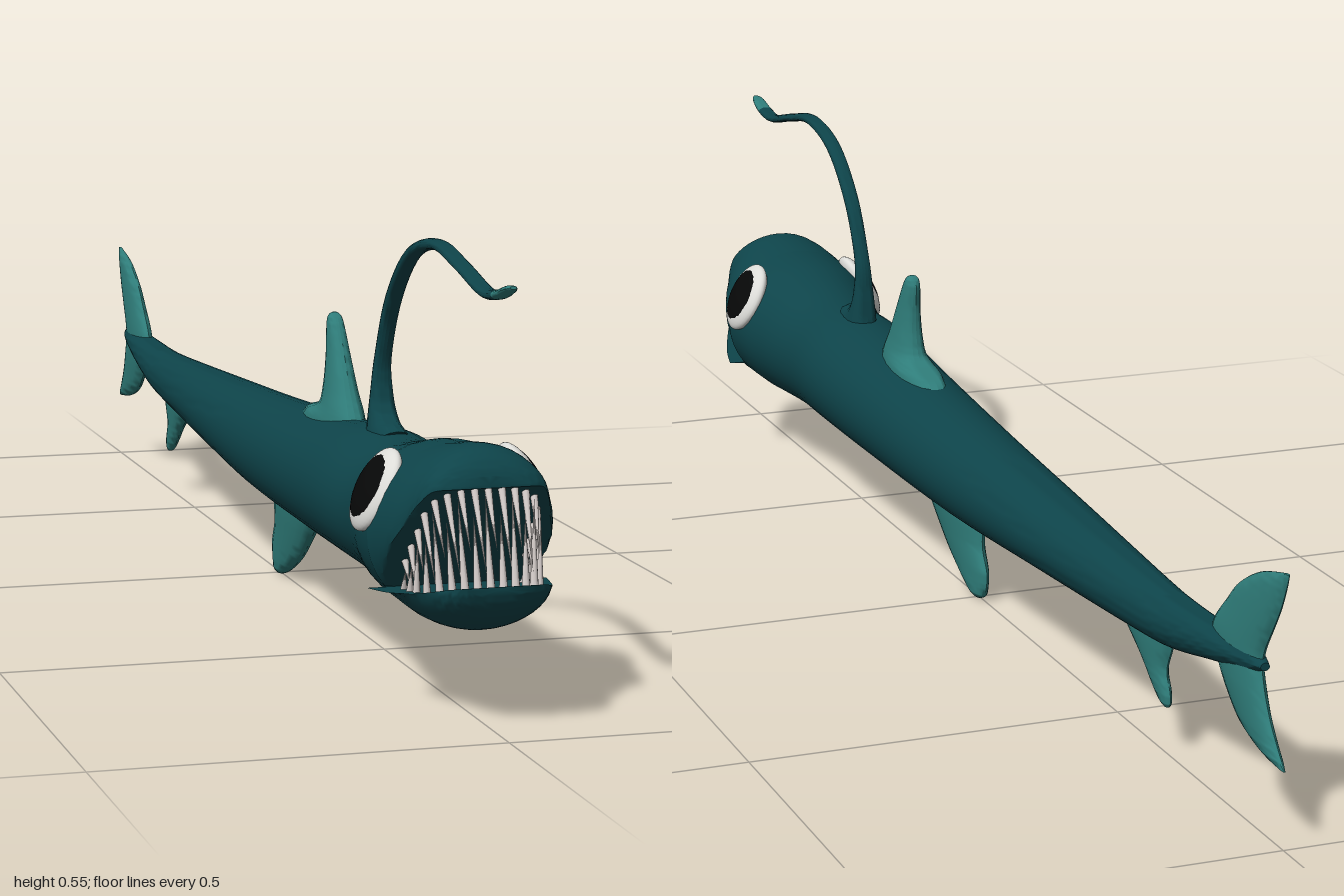
import * as THREE from 'three';
import { toCreasedNormals } from 'three/addons/utils/BufferGeometryUtils.js';

const mat = (name, color, side = THREE.FrontSide) => {
  const m = new THREE.MeshStandardMaterial({ color, side });
  m.name = name;
  return m;
};
const V = (x, y, z) => new THREE.Vector3(x, y, z);

// Catmull-Rom resampling of rows of numbers, n steps per span
function smooth(rows, n) {
  const out = [];
  const at = i => rows[Math.min(Math.max(i, 0), rows.length - 1)];
  for (let i = 0; i < rows.length - 1; i++) {
    for (let k = 0; k < n; k++) {
      const t = k / n;
      out.push(rows[i].map((b, c) => {
        const a = at(i - 1)[c], d = at(i + 1)[c], e = at(i + 2)[c];
        return 0.5 * (2 * b + (d - a) * t + (2 * a - 5 * b + 4 * d - e) * t * t + (3 * b - a - 3 * d + e) * t * t * t);
      }));
    }
  }
  out.push(rows[rows.length - 1]);
  return out;
}

// Closed skin over rings that run counter-clockwise about the direction of travel
function loft(rings, crease = 0.9) {
  const n = rings[0].length, pos = [], idx = [];
  rings.forEach(r => r.forEach(p => pos.push(p.x, p.y, p.z)));
  for (let i = 0; i < rings.length - 1; i++) {
    for (let j = 0; j < n; j++) {
      const a = i * n + j, b = i * n + (j + 1) % n;
      idx.push(a, b, a + n, b, b + n, a + n);
    }
  }
  [0, rings.length - 1].forEach((i, end) => {
    const c = rings[i].reduce((s, p) => s.add(p), V(0, 0, 0)).divideScalar(n);
    pos.push(c.x, c.y, c.z);
    const ci = pos.length / 3 - 1;
    for (let j = 0; j < n; j++) {
      const a = i * n + j, b = i * n + (j + 1) % n;
      end ? idx.push(ci, a, b) : idx.push(ci, b, a);
    }
  });
  const g = new THREE.BufferGeometry();
  g.setAttribute('position', new THREE.Float32BufferAttribute(pos, 3));
  g.setIndex(idx);
  return toCreasedNormals(g, crease);
}

const ring = (n, f) => Array.from({ length: n }, (_, j) => f(Math.cos(j / n * Math.PI * 2), Math.sin(j / n * Math.PI * 2)));

// Body rows: z, top, bottom, half width; optional lip height clamps the oval
function bodyLoft(rows, clamp) {
  return loft(smooth(rows, 5).map(([z, top, bottom, w, lip]) => ring(40, (c, s) => {
    const y = (top + bottom) / 2 + s * (top - bottom) / 2;
    return V(c * w, clamp ? clamp(y, lip) : y, z);
  })));
}

// Fin rows: y (rising), front z, back z, half thickness
function finLoft(rows) {
  return loft(smooth(rows, 5).map(([y, z1, z2, w]) =>
    ring(20, (c, s) => V(s * w, y, (z1 + z2) / 2 + c * (z1 - z2) / 2))));
}

export function createModel() {
  const model = new THREE.Group();
  const skin = mat('deep teal skin', 0x0e444a);
  const finMat = mat('light teal fin', 0x2f7d7a);
  const ivory = mat('tooth ivory', 0xd8d0cd);
  const white = mat('eye white', 0xdcdcd8);
  const black = mat('eye black', 0x070808);
  const add = (name, geo, m, parent = model) => {
    const mesh = new THREE.Mesh(geo, m);
    mesh.name = name;
    parent.add(mesh);
    return mesh;
  };

  // Trunk from tail tip to the back of the mouth
  add('body', bodyLoft([
    [-0.94, 0.216, 0.206, 0.006], [-0.9, 0.225, 0.194, 0.015], [-0.8, 0.222, 0.174, 0.025],
    [-0.7, 0.22, 0.154, 0.031], [-0.6, 0.222, 0.145, 0.037], [-0.3, 0.236, 0.13, 0.056],
    [0, 0.252, 0.115, 0.071], [0.3, 0.272, 0.114, 0.084], [0.48, 0.288, 0.115, 0.091],
    [0.6, 0.29, 0.113, 0.088], [0.68, 0.304, 0.11, 0.098], [0.74, 0.316, 0.108, 0.109],
    [0.8, 0.322, 0.108, 0.113],
  ]), skin);

  // Jaws, cut off at the lip line
  add('upperJaw', bodyLoft([
    [0.8, 0.322, 0.108, 0.113, 0.15], [0.85, 0.33, 0.125, 0.103, 0.207], [0.88, 0.332, 0.16, 0.09, 0.243],
    [0.9, 0.327, 0.21, 0.08, 0.268], [0.915, 0.314, 0.25, 0.069, 0.284], [0.922, 0.3, 0.272, 0.052, 0.287],
  ], Math.max), skin);
  add('lowerJaw', bodyLoft([
    [0.8, 0.322, 0.108, 0.113, 0.15], [0.85, 0.28, 0.107, 0.102, 0.154], [0.9, 0.235, 0.114, 0.086, 0.162],
    [0.94, 0.212, 0.132, 0.07, 0.172], [0.958, 0.2, 0.15, 0.057, 0.177], [0.967, 0.192, 0.168, 0.042, 0.179],
  ], Math.min), skin);

  // Needle teeth around both jaws
  const arch = pts => new THREE.CatmullRomCurve3(
    [...pts.map(([x, y, z]) => V(-x, y, z)), ...pts.slice(0, -1).reverse().map(([x, y, z]) => V(x, y, z))]);
  const upper = arch([[0.076, 0.178, 0.822], [0.072, 0.225, 0.86], [0.064, 0.272, 0.897], [0.035, 0.287, 0.911], [0, 0.288, 0.913]]);
  const lower = arch([[0.074, 0.145, 0.822], [0.073, 0.15, 0.875], [0.058, 0.163, 0.93], [0.032, 0.17, 0.948], [0, 0.172, 0.952]]);
  const teeth = new THREE.Group();
  teeth.name = 'teeth';
  model.add(teeth);
  const tooth = (name, from, to, r) => {
    const dir = to.clone().sub(from), h = dir.length();
    const m = add(name, new THREE.ConeGeometry(r, h, 8).translate(0, h / 2, 0), ivory, teeth);
    m.position.copy(from);
    m.quaternion.setFromUnitVectors(V(0, 1, 0), dir.normalize());
  };
  const count = 34;
  for (let i = 0; i <= count; i++) {
    const u = upper.getPoint(i / count), l = lower.getPoint(i / count);
    const out = V(0, 0, 0.014);
    if (i % 2) tooth('upperTooth', u, u.clone().lerp(l, i % 4 === 1 ? 0.6 : 0.8).add(out), 0.005);
    else tooth('lowerTooth', l, l.clone().lerp(u, i % 4 ? 0.75 : 0.95).add(out), 0.0055);
  }

  // Eyes: white domes with large black centres, tilted upward
  for (const s of [1, -1]) {
    const eye = new THREE.Group();
    eye.name = s > 0 ? 'leftEye' : 'rightEye';
    eye.position.set(s * 0.093, 0.263, 0.77);
    eye.rotation.z = s > 0 ? 0.46 : Math.PI - 0.46;
    const dome = (name, r, depth, m) => add(name, new THREE.SphereGeometry(r, 32, 20).scale(depth / r, 1, 1), m, eye);
    dome('eyeRing', 0.054, 0.018, white);
    dome('pupil', 0.05, 0.0202, black);
    model.add(eye);
  }

  // Curved lure stalk: y, z, half width, half depth
  const stalk = smooth([
    [0.265, 0.505, 0.026, 0.06], [0.295, 0.49, 0.02, 0.028], [0.33, 0.484, 0.015, 0.015], [0.38, 0.49, 0.011, 0.011],
    [0.46, 0.535, 0.011, 0.009], [0.525, 0.615, 0.011, 0.008], [0.548, 0.715, 0.011, 0.007],
    [0.534, 0.81, 0.011, 0.006], [0.515, 0.9, 0.011, 0.006], [0.518, 0.95, 0.011, 0.006],
    [0.528, 0.985, 0.009, 0.005], [0.532, 1, 0.004, 0.002],
  ], 6);
  const stalkRings = stalk.map(([y, z, rx, r], i) => {
    const a = stalk[Math.max(i - 1, 0)], b = stalk[Math.min(i + 1, stalk.length - 1)];
    const side = V(0, b[0] - a[0], b[1] - a[1]).normalize().cross(V(1, 0, 0));
    return ring(16, (c, s) => V(c * rx, y, z).addScaledVector(side, s * r));
  });
  const cut = stalk.length - 13;
  add('lureStalk', loft(stalkRings.slice(0, cut + 1)), skin);
  add('lureTip', loft(stalkRings.slice(cut)), finMat);

  // Fins
  add('dorsalFin', finLoft([
    [0.24, 0.39, 0.14, 0.032], [0.268, 0.375, 0.17, 0.03], [0.285, 0.362, 0.235, 0.025], [0.31, 0.343, 0.25, 0.02],
    [0.35, 0.318, 0.255, 0.015], [0.39, 0.292, 0.252, 0.011], [0.402, 0.28, 0.257, 0.008], [0.406, 0.271, 0.264, 0.003],
  ]), finMat);
  add('bellyFin', finLoft([
    [0.002, 0.01, -0.008, 0.005], [0.008, 0.03, -0.02, 0.01], [0.022, 0.065, -0.028, 0.012], [0.045, 0.11, -0.031, 0.014],
    [0.075, 0.15, -0.014, 0.017], [0.105, 0.185, -0.012, 0.02], [0.14, 0.21, 0, 0.022],
  ]), finMat);
  add('analFin', finLoft([
    [0.064, -0.65, -0.662, 0.003], [0.07, -0.635, -0.667, 0.006], [0.085, -0.612, -0.666, 0.008],
    [0.11, -0.58, -0.655, 0.01], [0.14, -0.53, -0.668, 0.013], [0.165, -0.49, -0.68, 0.014],
  ]), finMat);
  add('tailUpperLobe', finLoft([
    [0.205, -0.79, -0.93, 0.014], [0.23, -0.8, -0.937, 0.014], [0.265, -0.835, -0.96, 0.012],
    [0.295, -0.868, -0.979, 0.01], [0.325, -0.925, -0.993, 0.007], [0.343, -0.99, -1, 0.002],
  ]), finMat);
  add('tailLowerLobe', finLoft([
    [0.1, -0.985, -1, 0.002], [0.108, -0.93, -0.992, 0.007], [0.125, -0.876, -0.976, 0.01],
    [0.15, -0.842, -0.956, 0.012], [0.18, -0.815, -0.94, 0.014], [0.21, -0.8, -0.93, 0.014],
  ]), finMat);

  return model;
}
